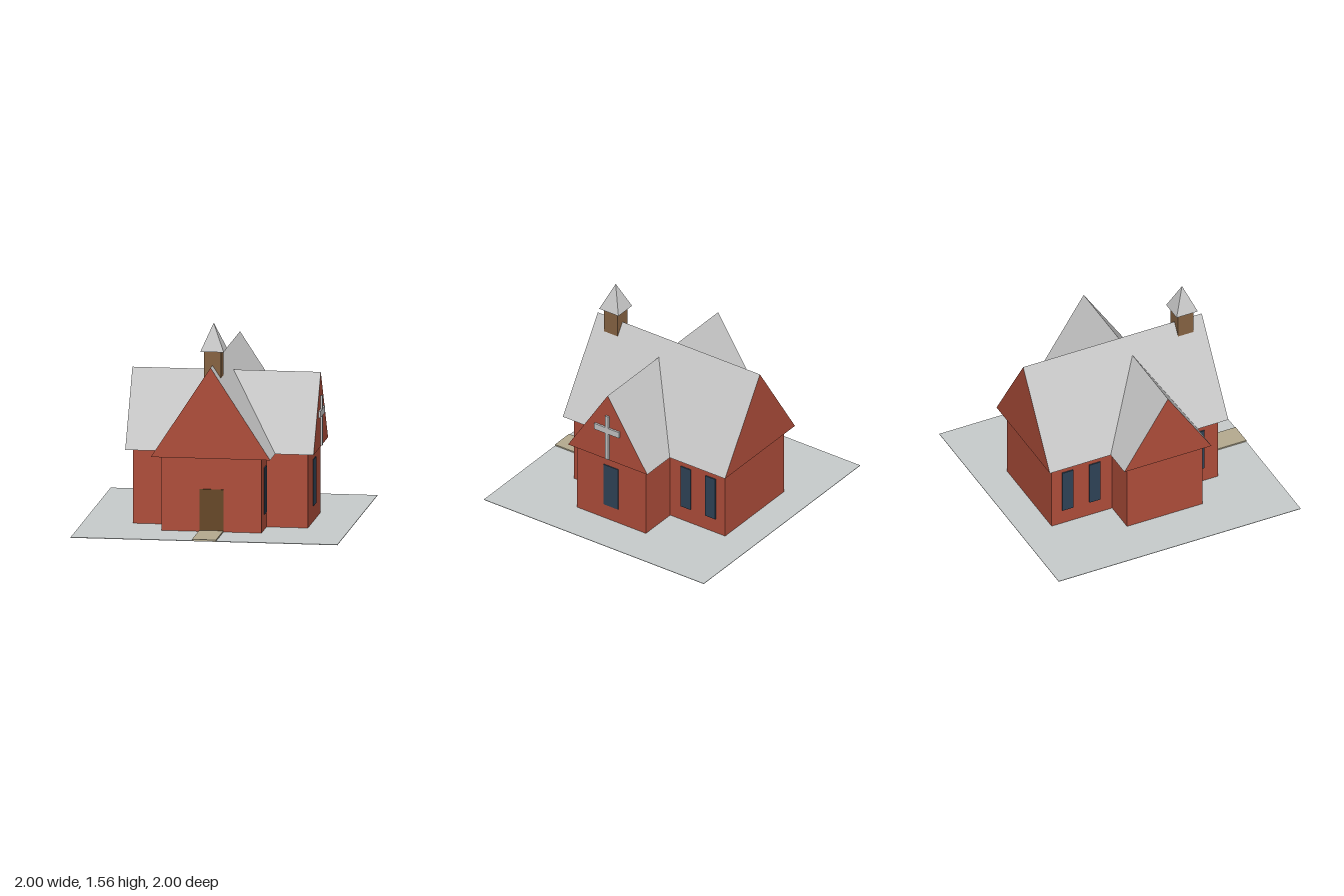
import * as THREE from 'three';

const mat = (name, color) => {
  const m = new THREE.MeshStandardMaterial({ color });
  m.name = name;
  return m;
};

export function createModel() {
  const model = new THREE.Group();
  model.name = 'chapel';

  const red = mat('redWall', 0xb04e3b);
  const grey = mat('greyRoof', 0xc6c6c6);
  const ground = mat('paleGround', 0xc8cccc);
  const blue = mat('darkBlueGlass', 0x2f4357);
  const doorBrown = mat('doorBrown', 0x674829);
  const wood = mat('steepleWood', 0x876443);
  const sand = mat('sandPath', 0xb5ab90);

  // Box given by its limits on each axis
  const box = (name, material, [x0, x1], [y0, y1], [z0, z1], parent = model) => {
    const mesh = new THREE.Mesh(new THREE.BoxGeometry(x1 - x0, y1 - y0, z1 - z0), material);
    mesh.position.set((x0 + x1) / 2, (y0 + y1) / 2, (z0 + z1) / 2);
    mesh.name = name;
    parent.add(mesh);
    return mesh;
  };

  // Gabled roof: red triangular ends, grey slopes and soffit, running along +z
  const gableRoof = (name, halfWidth, height, length) => {
    const shape = new THREE.Shape([
      new THREE.Vector2(-halfWidth, 0),
      new THREE.Vector2(halfWidth, 0),
      new THREE.Vector2(0, height),
    ]);
    const geometry = new THREE.ExtrudeGeometry(shape, { depth: length, bevelEnabled: false });
    const mesh = new THREE.Mesh(geometry, [red, grey]);
    mesh.name = name;
    model.add(mesh);
    return mesh;
  };

  const eaves = 0.565;

  // Ground and path
  box('ground', ground, [-1, 1], [0.001, 0.005], [-1, 1]);
  box('path', sand, [-0.09, 0.09], [0.005, 0.015], [0.625, 1]);

  // Walls of the nave and the crossing wing
  box('naveWalls', red, [-0.375, 0.375], [0, eaves], [-0.75, 0.625]);
  box('wingWalls', red, [-0.625, 0.685], [0, eaves], [-0.25, 0.375]);

  // Roofs
  gableRoof('naveRoof', 0.447, 0.685, 1.475).position.set(0, eaves, -0.8);
  const wingRoof = gableRoof('wingRoof', 0.36, 0.56, 1.412);
  wingRoof.rotation.y = Math.PI / 2;
  wingRoof.position.set(-0.677, eaves, 0.0625);

  // Door
  box('door', doorBrown, [-0.09, 0.09], [0.005, 0.325], [0.625, 0.634]);

  // Nave windows, mirrored on both sides
  const sill = [0.125, 0.475];
  for (const side of [-1, 1]) {
    for (const z of [0.465, -0.395, -0.62]) {
      const xs = side > 0 ? [0.375, 0.384] : [-0.384, -0.375];
      box('naveWindow', blue, xs, sill, [z - 0.045, z + 0.045]);
    }
  }
  box('wingWindow', blue, [0.685, 0.692], sill, [0, 0.13]);

  // Cross on the wing gable
  const cross = new THREE.Group();
  cross.name = 'cross';
  model.add(cross);
  box('crossUpright', grey, [0.735, 0.75], [0.575, 0.95], [0.0475, 0.0775], cross);
  box('crossArm', grey, [0.735, 0.75], [0.8, 0.85], [-0.05, 0.175], cross);

  // Steeple
  box('steepleTower', wood, [-0.0625, 0.0625], [1.1, 1.355], [0.45, 0.575]);
  const spireGeometry = new THREE.ConeGeometry(0.0875 * Math.SQRT2, 0.205, 4)
    .rotateY(Math.PI / 4)
    .toNonIndexed();
  spireGeometry.computeVertexNormals();
  const spire = new THREE.Mesh(spireGeometry, grey);
  spire.name = 'spire';
  spire.position.set(0, 1.355 + 0.1025, 0.5125);
  model.add(spire);

  return model;
}
